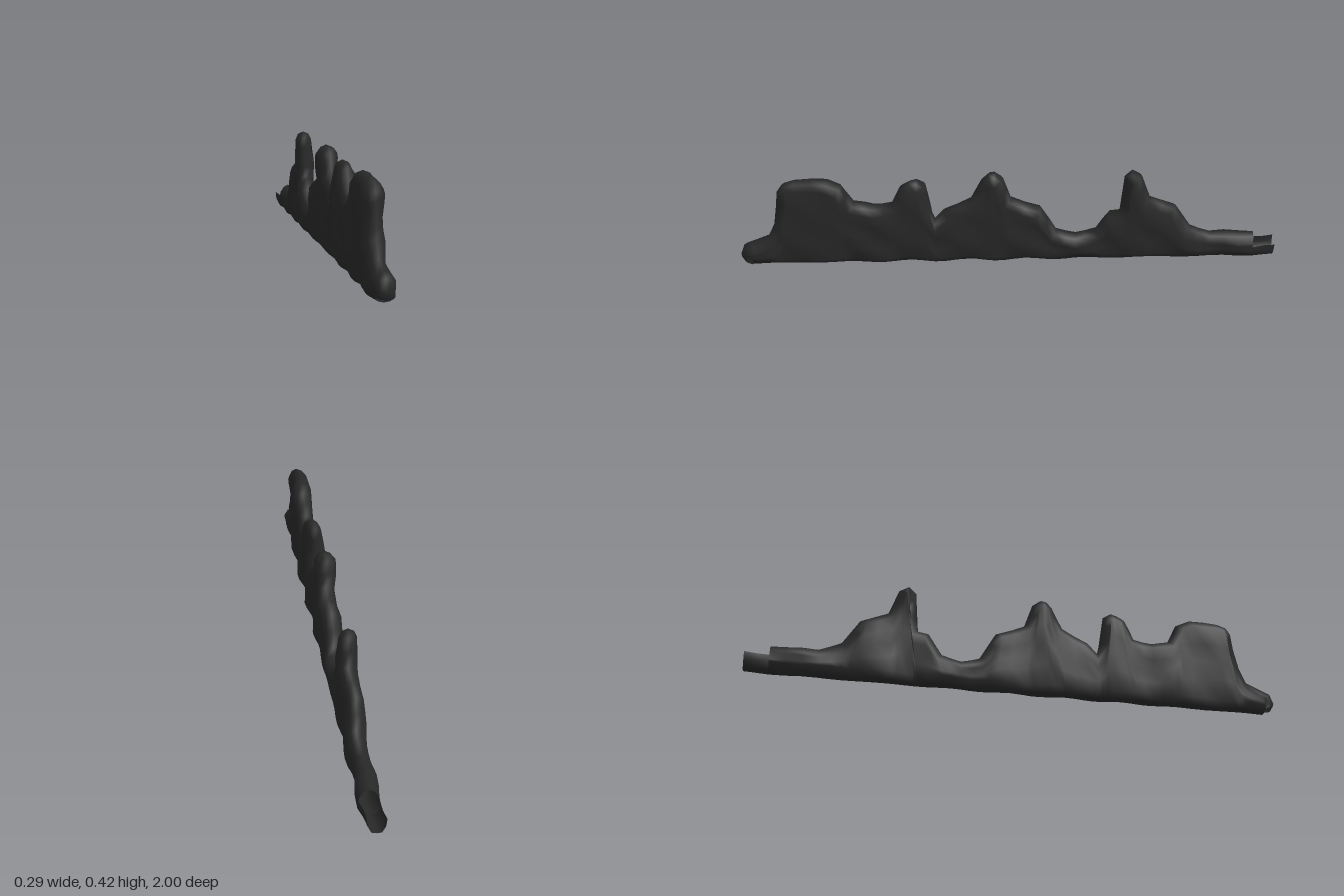
import * as THREE from 'three';

const rock = new THREE.MeshStandardMaterial({ color: 0x282828, side: THREE.DoubleSide });
rock.name = 'dark rock';

// Skyline of the ridge as [z, y], front to back
const skyline = [
  [0.985, 0.075], [1, 0.1], [0.985, 0.14], [0.95, 0.155], [0.89, 0.18], [0.865, 0.23], [0.85, 0.31],
  [0.84, 0.375], [0.82, 0.405], [0.78, 0.417], [0.66, 0.415], [0.61, 0.39], [0.57, 0.31], [0.5, 0.295],
  [0.435, 0.307], [0.4, 0.38], [0.37, 0.398], [0.34, 0.402], [0.31, 0.38], [0.297, 0.3], [0.285, 0.22],
  [0.25, 0.265], [0.15, 0.31], [0.11, 0.39], [0.085, 0.413], [0.06, 0.416], [0.03, 0.392], [0, 0.305],
  [-0.11, 0.255], [-0.17, 0.15], [-0.24, 0.13], [-0.31, 0.145], [-0.36, 0.22], [-0.4, 0.227],
  [-0.406, 0.3], [-0.412, 0.38], [-0.44, 0.402], [-0.475, 0.383], [-0.51, 0.29], [-0.61, 0.24],
  [-0.67, 0.15], [-0.75, 0.11], [-0.915, 0.105],
];

const floorY = (z) => 0.031 + 0.031 * z;
const centreX = (z, y) => 0.109 * z + 0.005 * Math.sin(z * 27 + y * 9);
const halfWidth = (z, y) => 0.034 + 0.005 * Math.sin(z * 33 - y * 38 + 1);

// Skin a list of equal-length rings, leaving both ends open
function skin(rings, closed, name) {
  const n = rings[0].length, pos = rings.flat(2), idx = [];
  for (let i = 0; i < rings.length - 1; i++) {
    for (let j = 0; j < (closed ? n : n - 1); j++) {
      const k = (j + 1) % n, a = i * n + j, b = i * n + k, c = a + n, d = b + n;
      idx.push(a, c, b, b, c, d);
    }
  }
  const geo = new THREE.BufferGeometry();
  geo.setAttribute('position', new THREE.Float32BufferAttribute(pos, 3));
  geo.setIndex(idx);
  geo.computeVertexNormals();
  const mesh = new THREE.Mesh(geo, rock);
  mesh.name = name;
  return mesh;
}

// Split long stretches so the sides can undulate
function refine(points) {
  const out = [];
  points.forEach(([z, y], i) => {
    out.push([z, y]);
    const next = points[i + 1];
    if (!next) return;
    const steps = Math.ceil(Math.hypot(next[0] - z, next[1] - y) / 0.065);
    for (let s = 1; s < steps; s++) {
      out.push([z + (next[0] - z) * s / steps, y + (next[1] - y) * s / steps]);
    }
  });
  return out;
}

// Mirror one side, listed from bottom centre to top centre, into a full ring
function ringFrom(side) {
  const at = (s) => ([f, z, y]) => [centreX(z, y) + s * f * halfWidth(z, y), y, z];
  return [...side.map(at(1)), ...side.slice(1, -1).reverse().map(at(-1))];
}

function ridge() {
  const line = refine(skyline);
  const rings = line.map(([z, y], i) => {
    const p = line[Math.max(i - 1, 0)], q = line[Math.min(i + 1, line.length - 1)];
    const len = Math.hypot(q[0] - p[0], q[1] - p[1]);
    const nz = (q[1] - p[1]) / len, ny = (p[0] - q[0]) / len;
    const bz = Math.min(z, 0.955), by = floorY(bz);
    const size = Math.hypot(z - bz, y - by);
    const last = i === line.length - 1;
    // Shoulders step inward from the skyline for a rounded crest
    const inset = (d) => {
      const k = Math.min(d, size * 0.35 * d / 0.032);
      return last ? [z, y - k] : [z - nz * k, y - ny * k];
    };
    const low = [bz, by + Math.min(0.028, size * 0.3)];
    const shoulder = inset(0.032), crest = inset(0.009);
    const mid = (t) => [1, low[0] + (shoulder[0] - low[0]) * t, low[1] + (shoulder[1] - low[1]) * t];
    return ringFrom([
      [0, bz, by], [0.55, bz, by + 0.003],
      mid(0), mid(0.25), mid(0.5), mid(0.75), mid(1),
      [0.6, ...crest], [0, z, y],
    ]);
  });
  return skin(rings, true, 'ridge');
}

// Open channel left at the broken back end
function brokenEnd() {
  const rings = [-0.915, -0.96, -1].map((z) => {
    const b = floorY(z);
    const half = [[0, b], [0.55, b + 0.003], [1, b + 0.028], [1, 0.057]];
    const at = (s) => ([f, y]) => [centreX(z, y) + s * f * halfWidth(z, y), y, z];
    return [...half.slice(1).reverse().map(at(-1)), ...half.map(at(1))];
  });
  return skin(rings, false, 'brokenEnd');
}

export function createModel() {
  const group = new THREE.Group();
  group.name = 'rockRidge';
  group.add(ridge(), brokenEnd());
  return group;
}
